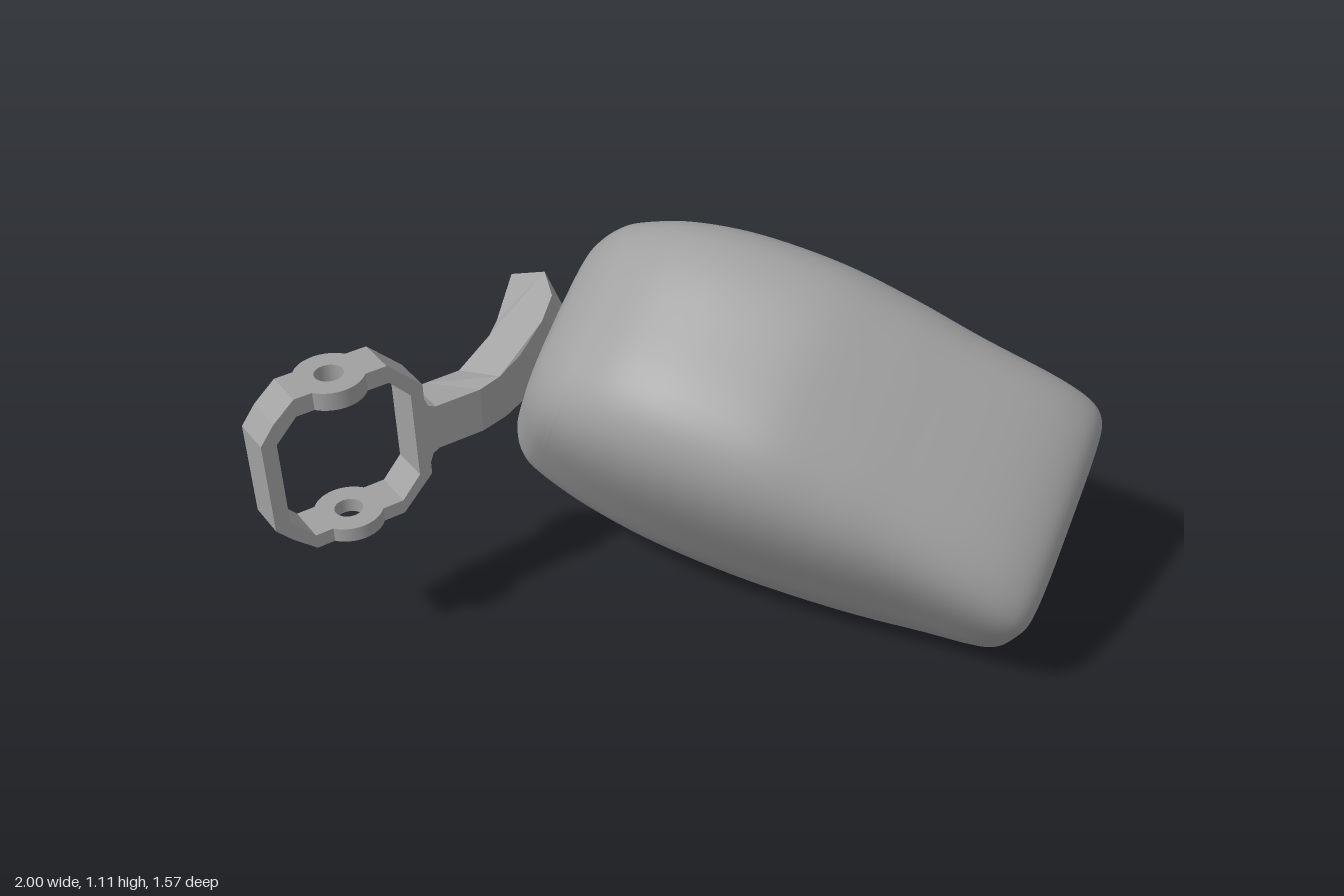
import * as THREE from 'three';

const grey = new THREE.MeshStandardMaterial({ color: 0xa0a0a0 });
grey.name = 'grey';

// Body cross-sections: position along axis, half width, height above, height below, lean
const SECTIONS = [
  [-0.72, 0.10, 0.13, 0.12, 0.22],
  [-0.712, 0.195, 0.25, 0.23, 0.22],
  [-0.697, 0.245, 0.31, 0.285, 0.22],
  [-0.66, 0.293, 0.37, 0.335, 0.22],
  [-0.6, 0.325, 0.415, 0.38, 0.2],
  [-0.45, 0.36, 0.478, 0.448, 0.12],
  [-0.25, 0.383, 0.51, 0.483, 0.05],
  [0, 0.387, 0.505, 0.487, -0.02],
  [0.25, 0.374, 0.455, 0.445, -0.15],
  [0.46, 0.355, 0.395, 0.362, -0.26],
  [0.62, 0.347, 0.305, 0.305, -0.1],
  [0.7, 0.335, 0.235, 0.268, 0.02],
  [0.738, 0.31, 0.17, 0.222, 0.08],
  [0.752, 0.265, 0.11, 0.15, 0.1],
  [0.756, 0.13, 0.05, 0.07, 0.1],
];
const BACK_SEAM = 4, FRONT_SEAM = 9, STEPS = 6, AROUND = 96, POWER = 3.6;

const sectionCurve = new THREE.CubicInterpolant(
  SECTIONS.map((_, i) => i), SECTIONS.flat(), 5, new Array(5));

// Lofts rounded-square rings between two section numbers, closing an end where asked
function loft(from, to, closeStart, closeEnd) {
  const pos = [], index = [];
  const rings = (to - from) * STEPS;
  for (let i = 0; i <= rings; i++) {
    const [s, wide, above, below, lean] = sectionCurve.evaluate(from + i / STEPS);
    for (let j = 0; j < AROUND; j++) {
      const a = (j / AROUND) * Math.PI * 2, c = Math.cos(a), n = Math.sin(a);
      const r = (Math.abs(c) ** POWER + Math.abs(n) ** POWER) ** (-1 / POWER);
      const y = r * n * (n > 0 ? above : below);
      pos.push(r * c * wide, y, s + lean * y);
      if (i < rings) {
        const p = i * AROUND + j, q = i * AROUND + (j + 1) % AROUND;
        index.push(p, q, q + AROUND, p, q + AROUND, p + AROUND);
      }
    }
  }
  const close = (ring, s, flip) => {
    const centre = pos.length / 3;
    pos.push(0, 0, s);
    for (let j = 0; j < AROUND; j++) {
      const p = ring * AROUND + j, q = ring * AROUND + (j + 1) % AROUND;
      index.push(centre, flip ? q : p, flip ? p : q);
    }
  };
  if (closeStart) close(0, SECTIONS[from][0] - 0.003, true);
  if (closeEnd) close(rings, SECTIONS[to][0] + 0.001, false);
  const g = new THREE.BufferGeometry();
  g.setAttribute('position', new THREE.Float32BufferAttribute(pos, 3));
  g.setIndex(index);
  g.computeVertexNormals();
  return g;
}

function add(parent, name, geometry) {
  const mesh = new THREE.Mesh(geometry, grey);
  mesh.name = name;
  parent.add(mesh);
}

const shapeOf = (points) => new THREE.Shape(points.map(([x, y]) => new THREE.Vector2(x, y)));
const extrude = (shape, depth) =>
  new THREE.ExtrudeGeometry(shape, { depth, bevelEnabled: false, curveSegments: 24 });

// Plan outline (x, z) raised between two heights
function slab(shape, bottom, top) {
  return extrude(shape, top - bottom).rotateX(Math.PI / 2).translate(0, top, 0);
}

export function createModel() {
  const model = new THREE.Group();
  model.name = 'podWithBracket';

  // Pod, tilted, turned and rolled
  const pod = new THREE.Group();
  pod.name = 'pod';
  const forward = new THREE.Vector3(0.56, -0.2, 0.8).normalize();
  const up = new THREE.Vector3().crossVectors(forward, new THREE.Vector3(0.72, 0.57, -0.4)).normalize();
  const side = new THREE.Vector3().crossVectors(up, forward);
  pod.quaternion.setFromRotationMatrix(new THREE.Matrix4().makeBasis(side, up, forward));
  pod.position.set(0.312, 0.537, 0.01);
  add(pod, 'backCover', loft(0, BACK_SEAM, true, false));
  add(pod, 'shell', loft(BACK_SEAM, FRONT_SEAM, false, false));
  add(pod, 'frontCap', loft(FRONT_SEAM, SECTIONS.length - 1, false, true));
  model.add(pod);

  // Clamp ring: two bent sides joined by drilled walls
  const bracket = new THREE.Group();
  bracket.name = 'bracket';
  model.add(bracket);
  const z0 = -0.515, depth = 0.11, zMid = -0.46;
  const outer = shapeOf([[-0.9, 0.89], [-0.96, 0.84], [-1, 0.79], [-1, 0.53], [-0.96, 0.485], [-0.9, 0.43],
    [-0.9, 0.47], [-0.96, 0.54], [-0.96, 0.78], [-0.9, 0.84]]);
  const inner = shapeOf([[-0.65, 0.89], [-0.56, 0.8], [-0.56, 0.755], [-0.55, 0.73], [-0.53, 0.72],
    [-0.5, 0.72], [-0.5, 0.59], [-0.53, 0.59], [-0.55, 0.58], [-0.56, 0.555], [-0.56, 0.52], [-0.65, 0.43],
    [-0.65, 0.47], [-0.595, 0.53], [-0.595, 0.78], [-0.65, 0.84]]);
  add(bracket, 'ringOuterSide', extrude(outer, depth).translate(0, 0, z0));
  add(bracket, 'ringInnerSide', extrude(inner, depth).translate(0, 0, z0));

  // Walls with a round boss and a bolt hole
  const half = depth / 2, radius = 0.09, a = Math.asin(half / radius), cx = -0.78;
  const wall = new THREE.Shape();
  wall.moveTo(-0.9, zMid + half);
  wall.lineTo(-0.9, zMid - half);
  wall.absarc(cx, zMid, radius, Math.PI + a, 2 * Math.PI - a, false);
  wall.lineTo(-0.65, zMid - half);
  wall.lineTo(-0.65, zMid + half);
  wall.absarc(cx, zMid, radius, a, Math.PI - a, false);
  const hole = new THREE.Path();
  hole.absarc(cx, zMid, 0.037, 0, Math.PI * 2, true);
  wall.holes.push(hole);
  add(bracket, 'ringTop', slab(wall, 0.84, 0.89));
  add(bracket, 'ringBottom', slab(wall, 0.43, 0.47));

  // Arm curving to the back of the pod, rising and rolling towards its end
  const plan = shapeOf([[-0.5, -0.515], [-0.4, -0.515], [-0.35, -0.525], [-0.3, -0.545], [-0.22, -0.595],
    [-0.11, -0.68], [-0.06, -0.58], [-0.09, -0.5], [-0.15, -0.465], [-0.25, -0.43], [-0.33, -0.412],
    [-0.4, -0.405], [-0.5, -0.405]]);
  const arm = slab(plan, 0.59, 0.72);
  const p = arm.attributes.position;
  for (let i = 0; i < p.count; i++) {
    const x = p.getX(i), y = p.getY(i), t = Math.max(0, x + 0.4);
    p.setXY(i, x + (0.655 - y) * 1.2 * t, y + 0.1 * t + 1.1 * t * t);
  }
  arm.computeVertexNormals();
  add(bracket, 'arm', arm);

  return model;
}
